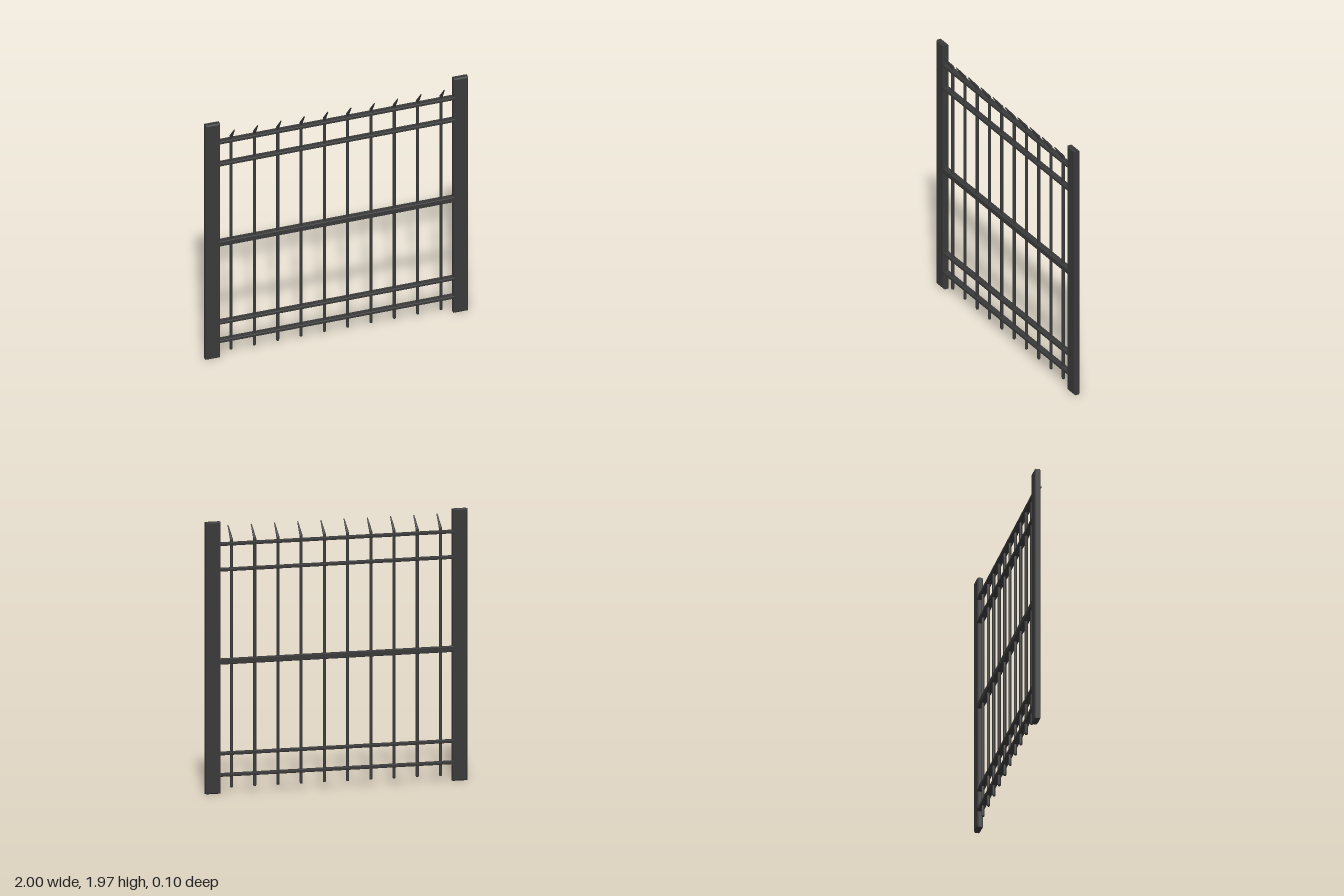
import * as THREE from 'three';

const Z = -0.025; // centre plane of posts, rails and bars

export function createModel() {
  const group = new THREE.Group();
  const iron = new THREE.MeshStandardMaterial({ color: 0x3a3a3a, flatShading: true });

  const add = (name, geometry, x, y, z = Z) => {
    const mesh = new THREE.Mesh(geometry, iron);
    mesh.name = name;
    mesh.position.set(x, y, z);
    group.add(mesh);
    return mesh;
  };

  // Box with chamfered edges, centred on its origin
  const chamferBox = (w, h, d, c) => {
    const a = w / 2 - c, b = h / 2 - c;
    const shape = new THREE.Shape([[-a, -b], [a, -b], [a, b], [-a, b]].map(p => new THREE.Vector2(...p)));
    return new THREE.ExtrudeGeometry(shape, {
      depth: d - 2 * c, bevelEnabled: true, bevelThickness: c, bevelSize: c, bevelSegments: 1,
    }).translate(0, 0, c - d / 2);
  };

  // Flat side posts
  const post = chamferBox(0.11, 1.97, 0.046, 0.008);
  add('leftPost', post, 0.945, 0.985);
  add('rightPost', post, -0.945, 0.985);

  // Horizontal rails: two thin at each end, a thicker one in the middle
  for (const [y, h] of [[0.133, 0.022], [0.288, 0.022], [0.955, 0.04], [1.62, 0.022], [1.805, 0.022]]) {
    add('rail', chamferBox(1.8, h, 0.047, 0.003), 0, y);
  }

  // Upright round bars, each with a tapered spike bent to the front
  const r = 0.012;
  const bar = new THREE.LatheGeometry(
    [[0, 0.04], [0.009, 0.04], [r, 0.048], [r, 1.835], [0, 1.845]].map(p => new THREE.Vector2(...p)), 8);
  const base = new THREE.Vector3(0, 1.833, Z);
  const dir = new THREE.Vector3(0, 1.928, 0.047).sub(base);
  const spike = new THREE.CylinderGeometry(0.004, r, dir.length(), 8);
  const tilt = new THREE.Quaternion().setFromUnitVectors(new THREE.Vector3(0, 1, 0), dir.clone().normalize());
  for (let i = 0; i < 10; i++) {
    const x = -0.8 + i * 1.6 / 9;
    add('bar', bar, x, 0);
    const mid = base.clone().addScaledVector(dir, 0.5);
    add('spike', spike, x, mid.y, mid.z).quaternion.copy(tilt);
  }
  return group;
}
